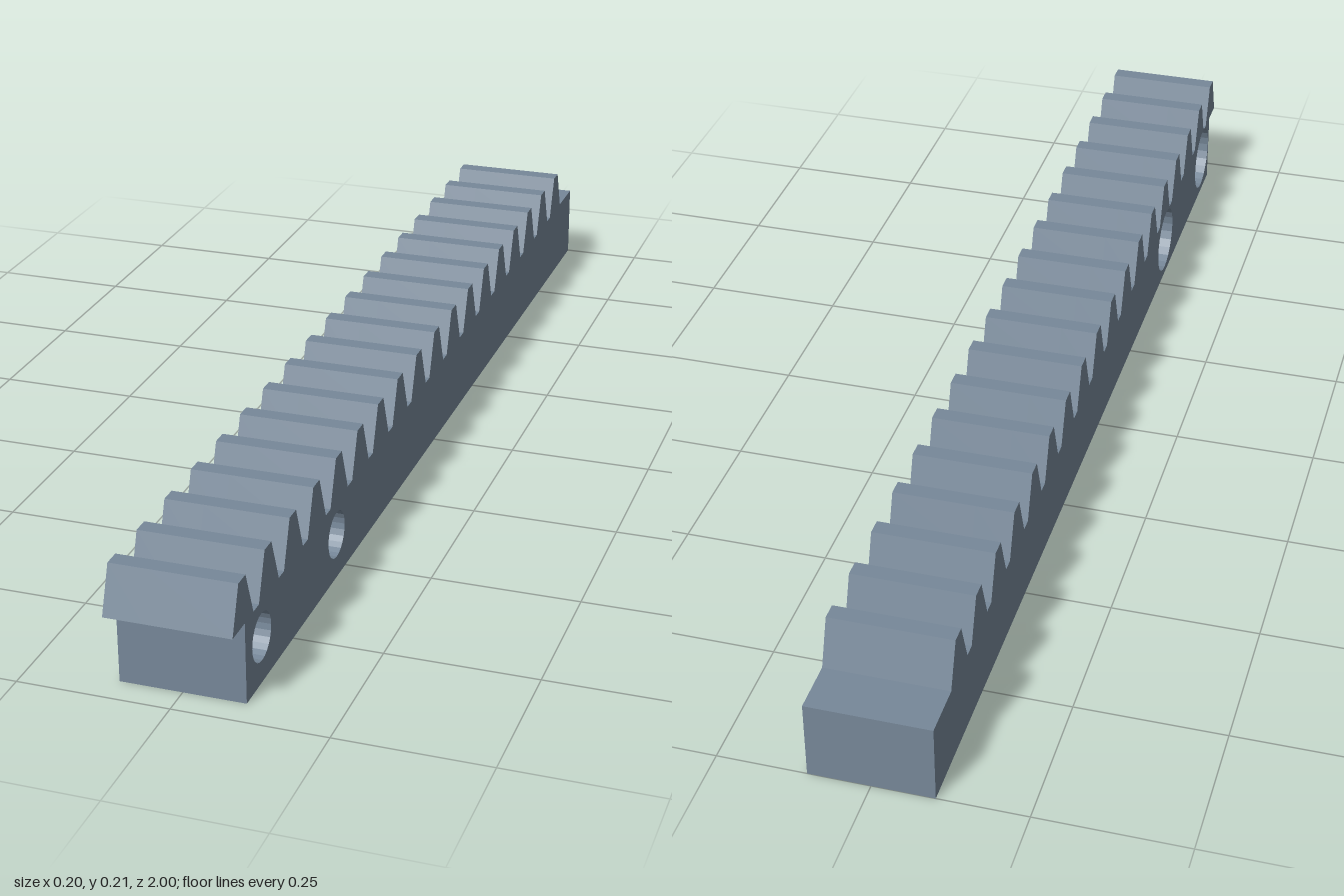
import * as THREE from 'three';
import { mergeGeometries } from 'three/addons/utils/BufferGeometryUtils.js';

// Dimensions; the side profile is drawn in (u, v) = (-z, y)
const HALF = 0.1025, FLOOR = -0.0375;
const ROOT = 0.137, TOP = 0.214, PITCH = 0.1074, TEETH = 18;
const BASE_W = 0.0424, TIP_W = 0.0144;
const FRONT = -0.951, FIRST = -0.9576;
const HOLE_Y = 0.077, HOLE_R = 0.04, BORE_R = 0.063, SIDES = 24;
const HOLES = [-0.884, -0.542];

// Clockwise arc, so its walls face into the hole
function arc(u, r, from = 0, to = -Math.PI * 2, closed = true) {
  const pts = [];
  for (let i = 0; i < SIDES + (closed ? 0 : 1); i++) {
    const a = from + (to - from) * i / SIDES;
    pts.push([u + r * Math.cos(a), HOLE_Y + r * Math.sin(a)]);
  }
  return pts;
}

function geometryFrom(positions) {
  const g = new THREE.BufferGeometry();
  g.setAttribute('position', new THREE.Float32BufferAttribute(positions, 3));
  return g;
}

// Strip of quads along a closed outline between two widths
function wall(pts, w0, w1) {
  const p = [];
  pts.forEach((a, i) => {
    const b = pts[(i + 1) % pts.length];
    p.push(...a, w0, ...b, w0, ...b, w1, ...a, w0, ...b, w1, ...a, w1);
  });
  return geometryFrom(p);
}

// Flat face with holes, facing +x or (flipped) -x
function cap(pts, holes, w, flip) {
  const vec = list => list.map(([u, v]) => new THREE.Vector2(u, v));
  const shape = new THREE.Shape(vec(pts));
  holes.forEach(h => shape.holes.push(new THREE.Path(vec(h))));
  const flat = new THREE.ShapeGeometry(shape);
  const pos = flat.getAttribute('position'), idx = flat.index.array, p = [];
  for (let i = 0; i < idx.length; i += 3) {
    const tri = flip ? [idx[i], idx[i + 2], idx[i + 1]] : [idx[i], idx[i + 1], idx[i + 2]];
    tri.forEach(k => p.push(pos.getX(k), pos.getY(k), w));
  }
  return geometryFrom(p);
}

// Rack outline; an optional notch replaces the root corner behind the first gap
function rackProfile(notch) {
  const pts = [[FRONT, 0], [1, 0], [1, ROOT]];
  for (let i = TEETH - 1; i >= 0; i--) {
    const c = FIRST + i * PITCH;
    pts.push([c + BASE_W, ROOT], [c + TIP_W, TOP], [c - TIP_W, TOP]);
    if (i === 1 && notch) pts.push(...notch);
    else pts.push([c - BASE_W, ROOT]);
  }
  pts.push([FRONT, ROOT]);
  return pts;
}

export function createModel() {
  const group = new THREE.Group();
  group.name = 'gearRack';
  const steel = new THREE.MeshStandardMaterial({ color: 0x778899, flatShading: true });
  steel.name = 'steel';

  const add = (name, parts) => {
    const g = mergeGeometries(parts);
    g.rotateY(Math.PI / 2);
    g.computeVertexNormals();
    const mesh = new THREE.Mesh(g, steel);
    mesh.name = name;
    group.add(mesh);
  };

  // The front counterbore just breaks through the root of the first tooth gap
  const rise = ROOT - HOLE_Y;
  const start = Math.atan2(0.0625, -0.0077);
  const end = Math.atan2(rise, -Math.sqrt(BORE_R ** 2 - rise ** 2)) - Math.PI * 2;
  const notch = arc(HOLES[0], BORE_R, start, end, false);
  const bore = arc(HOLES[1], BORE_R);
  const small = HOLES.map(u => arc(u, HOLE_R));
  const full = rackProfile(), notched = rackProfile(notch);

  // Toothed bar: outline walls and the two long side faces
  add('toothedBar', [
    wall(full, FLOOR, HALF),
    wall(notched, -HALF, FLOOR),
    cap(full, small, HALF, false),
    cap(notched, [bore], -HALF, true),
  ]);

  // Through holes for bolts
  add('boltHoles', small.map(h => wall(h, FLOOR, HALF)));

  // Counterbore wall and the seats around the bolt holes
  const corner = [FIRST + PITCH - BASE_W, ROOT];
  add('counterbores', [
    wall(bore, -HALF, FLOOR),
    cap([...notch, corner], [small[0]], FLOOR, true),
    cap(bore, [small[1]], FLOOR, true),
  ]);

  return group;
}
